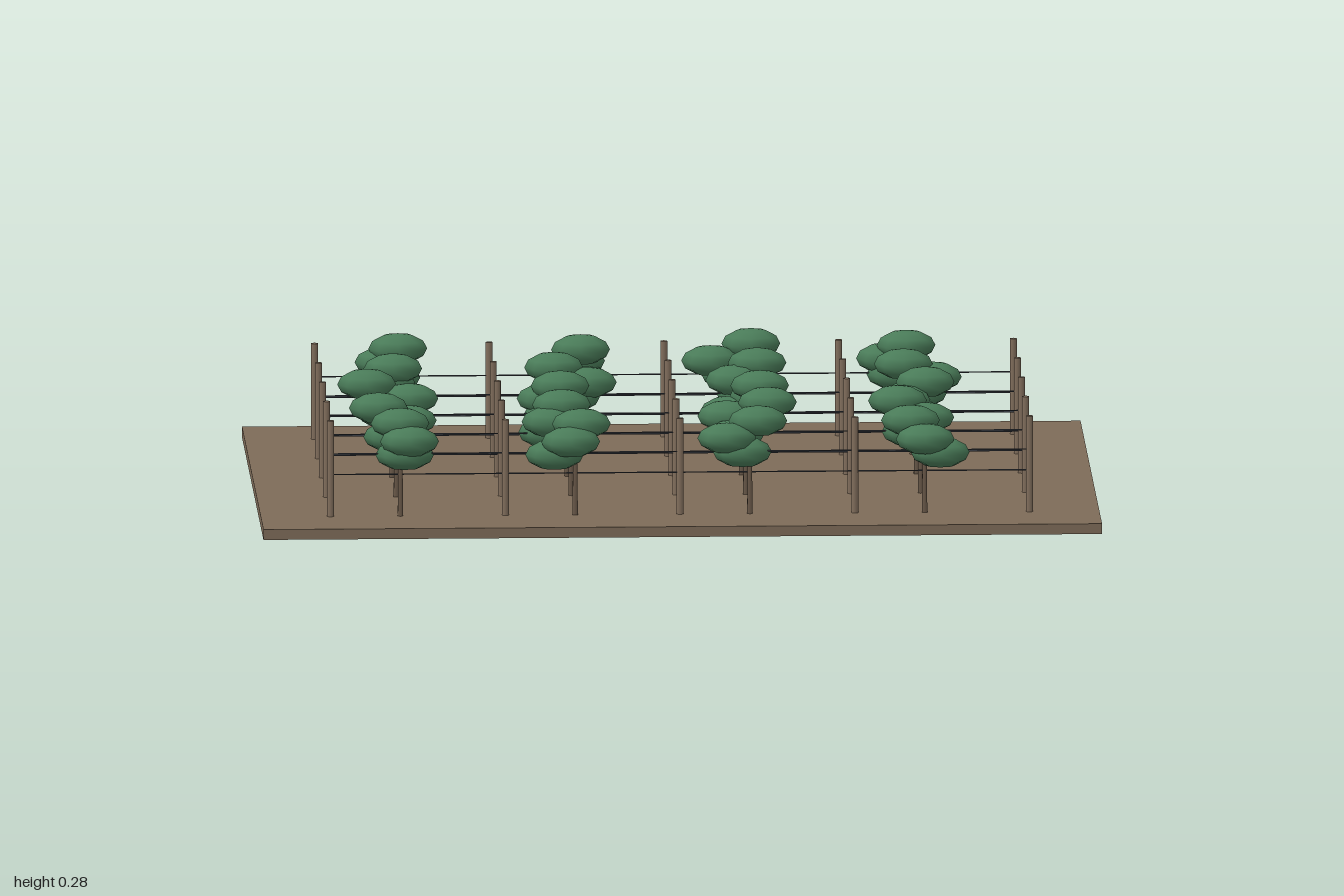
import * as THREE from 'three';

const mat = (name, color) => {
  const m = new THREE.MeshStandardMaterial({ color });
  m.name = name;
  return m;
};

export function createModel() {
  const soil = mat('soil brown', 0x7d6b58);
  const wood = mat('post wood', 0x826f5d);
  const bark = mat('vine bark', 0x6b5a4a);
  const steel = mat('wire grey', 0x444850);
  const leaf = mat('leaf green', 0x4a7c59);

  const group = new THREE.Group();
  group.name = 'vineyard';
  const add = (parent, name, geo, material, x, y, z) => {
    const mesh = new THREE.Mesh(geo, material);
    mesh.name = name;
    mesh.position.set(x, y, z);
    parent.add(mesh);
    return mesh;
  };

  const top = 0.025;
  add(group, 'ground', new THREE.BoxGeometry(2, top, 1.333), soil, 0, top / 2, 0);

  const postGeo = new THREE.CylinderGeometry(0.0083, 0.0083, 0.232, 8);
  const trunkGeo = new THREE.CylinderGeometry(0.0055, 0.0075, 0.15, 6);
  const wireGeo = new THREE.CylinderGeometry(0.0017, 0.0017, 1.667, 6).rotateZ(Math.PI / 2);
  const leafGeo = new THREE.SphereGeometry(1, 8, 6).scale(0.07, 0.037, 0.053);

  // Leaf clump offsets (x, z in hundredths) from each trunk, listed low to high;
  // where only two are given, a low clump sits between them.
  const clumps = [
    [[[0, -1.3], [3.2, 0.5]], [[4, -0.8], [5, 3.5]], [[-5.5, -0.3], [4.2, -2.9]], [[-5.4, -1.9], [-0.6, 0.8]]],
    [[[-0.6, 1.1], [1, 1.6]], [[5.7, 2.1], [-2.3, 1.1]], [[-0.7, 0], [4.7, -2.7]], [[4.8, -2.1], [-2.2, 0]]],
    [[[4.1, -3.7], [-6, -3.7]], [[-4.9, -2.7], [-1.7, 0.3]], [[-2.8, -3.7], [4.2, -3.7], [4.2, 1.6]], [[-3.8, 2.7], [2.1, -1.6]]],
    [[[2.6, -0.5], [-4.4, 2.1]], [[-5.5, -3.2], [-4.9, 2.1], [-2.3, -0.5]], [[-2.8, 2.1], [-4.4, -3.7], [5.2, -1.6]], [[1, 0.5], [-5.4, -2.7]]],
    [[[2.1, 1.6], [0, -2.7]], [[-4.9, 0.5], [-1.2, 3.6], [1.5, -0.5]], [[-5.5, 0], [2, -2.7]], [[3.7, 1.1], [0, 3.2], [-3.3, -2.1]]],
  ];
  const clumpY = [0.172, 0.208, 0.244];

  clumps.forEach((vines, r) => {
    const row = new THREE.Group();
    row.name = 'vineRow';
    row.position.z = (r - 2) * 0.25;
    group.add(row);

    // Trellis posts and the two wires strung between them
    for (let i = -2; i <= 2; i++) add(row, 'post', postGeo, wood, i * 0.4167, top + 0.116, 0);
    for (const y of [0.126, 0.176]) add(row, 'wire', wireGeo, steel, 0, y, 0);

    // Vines, each a trunk with stacked leaf clumps
    vines.forEach((given, i) => {
      const vine = new THREE.Group();
      vine.name = 'vine';
      vine.position.x = -0.667 + i * 0.4167;
      row.add(vine);
      add(vine, 'trunk', trunkGeo, bark, 0, top + 0.075, 0);
      const [a, b] = given;
      const list = given.length === 3 ? given : [[(a[0] + b[0]) / 2, (a[1] + b[1]) / 2], a, b];
      list.forEach(([x, z], k) => add(vine, 'leafClump', leafGeo, leaf, x / 100, clumpY[k], z / 100));
    });
  });
  return group;
}
